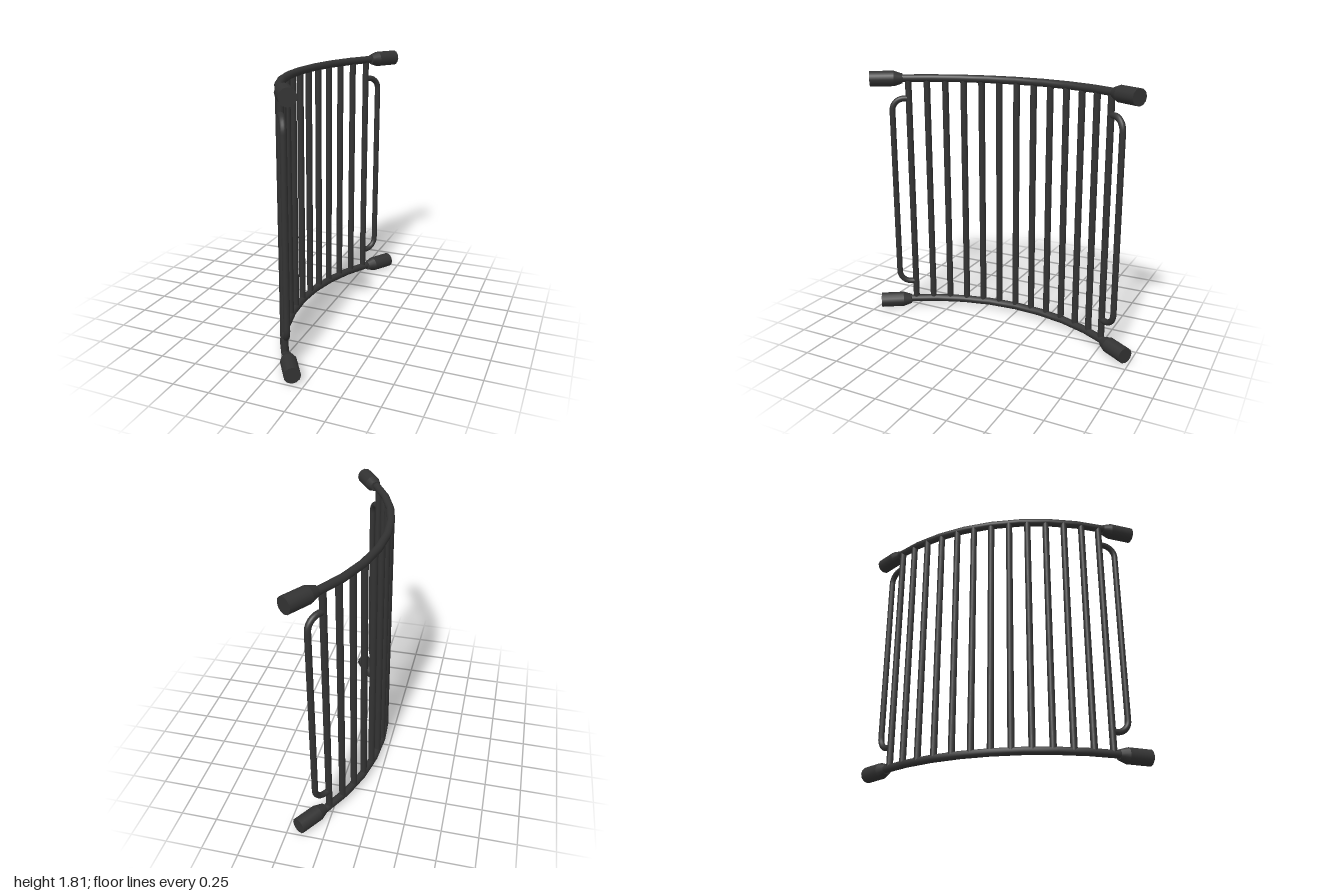
import * as THREE from 'three';

const R = 1.45;            // radius of the curved panel
const APEX = -0.19;        // x of the panel at its middle
const END = 0.546;         // half angle between the outermost bars
const LOW = 0.055, HIGH = 1.756;

const material = new THREE.MeshStandardMaterial({ color: 0x333333, roughness: 0.8 });

// point on the panel arc at angle a and height y
const onArc = (a, y) => new THREE.Vector3(APEX + R * (1 - Math.cos(a)), y, R * Math.sin(a));

function add(group, name, geometry) {
  const mesh = new THREE.Mesh(geometry, material);
  mesh.name = name;
  group.add(mesh);
  return mesh;
}

function polyline(points) {
  const path = new THREE.CurvePath();
  for (let i = 1; i < points.length; i++) path.add(new THREE.LineCurve3(points[i - 1], points[i]));
  return path;
}

export function createModel() {
  const model = new THREE.Group();
  model.name = 'curvedRailing';

  // curved top and bottom rails, in eight straight steps
  for (const [name, y] of [['bottomRail', LOW], ['topRail', HIGH]]) {
    const points = [];
    for (let i = -4; i <= 4; i++) points.push(onArc((i / 4) * (END + 0.03), y));
    add(model, name, new THREE.TubeGeometry(polyline(points), 8, 0.027, 12));
  }

  // thirteen upright bars at equal angles
  for (let i = -6; i <= 6; i++) {
    const bar = add(model, 'bar', new THREE.CylinderGeometry(0.023, 0.023, HIGH - LOW, 12, 1, true));
    bar.position.copy(onArc((i / 6) * END, (LOW + HIGH) / 2));
  }

  // closed end socket with a tapered neck, pointing along +y
  const socket = new THREE.LatheGeometry(
    [[0, 0], [0.035, 0], [0.035, 0], [0.055, 0.06], [0.055, 0.06], [0.055, 0.228], [0.055, 0.228], [0, 0.228]]
      .map(([x, y]) => new THREE.Vector2(x, y)), 12);

  for (const side of [1, -1]) {
    const outward = new THREE.Vector3(Math.sin(0.57), 0, side * Math.cos(0.57));

    // sockets on both rail ends
    for (const y of [LOW, HIGH]) {
      const mesh = add(model, 'endSocket', socket);
      mesh.position.set(0.05, y, side * 0.781);
      mesh.quaternion.setFromUnitVectors(new THREE.Vector3(0, 1, 0), outward);
    }

    // rounded grab handle beside the outermost bar
    const base = onArc(side * END, 0);
    const at = (d, y) => base.clone().addScaledVector(outward, d).setY(y);
    const reach = 0.12, bend = 0.085, bottom = 0.202, top = 1.612;
    const path = new THREE.CurvePath();
    const knee = reach - bend;
    const k = bend * 0.45;
    path.add(new THREE.LineCurve3(at(0, bottom), at(knee, bottom)));
    path.add(new THREE.CubicBezierCurve3(at(knee, bottom), at(reach - k, bottom), at(reach, bottom + k), at(reach, bottom + bend)));
    path.add(new THREE.LineCurve3(at(reach, bottom + bend), at(reach, top - bend)));
    path.add(new THREE.CubicBezierCurve3(at(reach, top - bend), at(reach, top - k), at(reach - k, top), at(knee, top)));
    path.add(new THREE.LineCurve3(at(knee, top), at(0, top)));
    add(model, side > 0 ? 'frontHandle' : 'backHandle', new THREE.TubeGeometry(path, 100, 0.021, 12));
  }

  return model;
}
